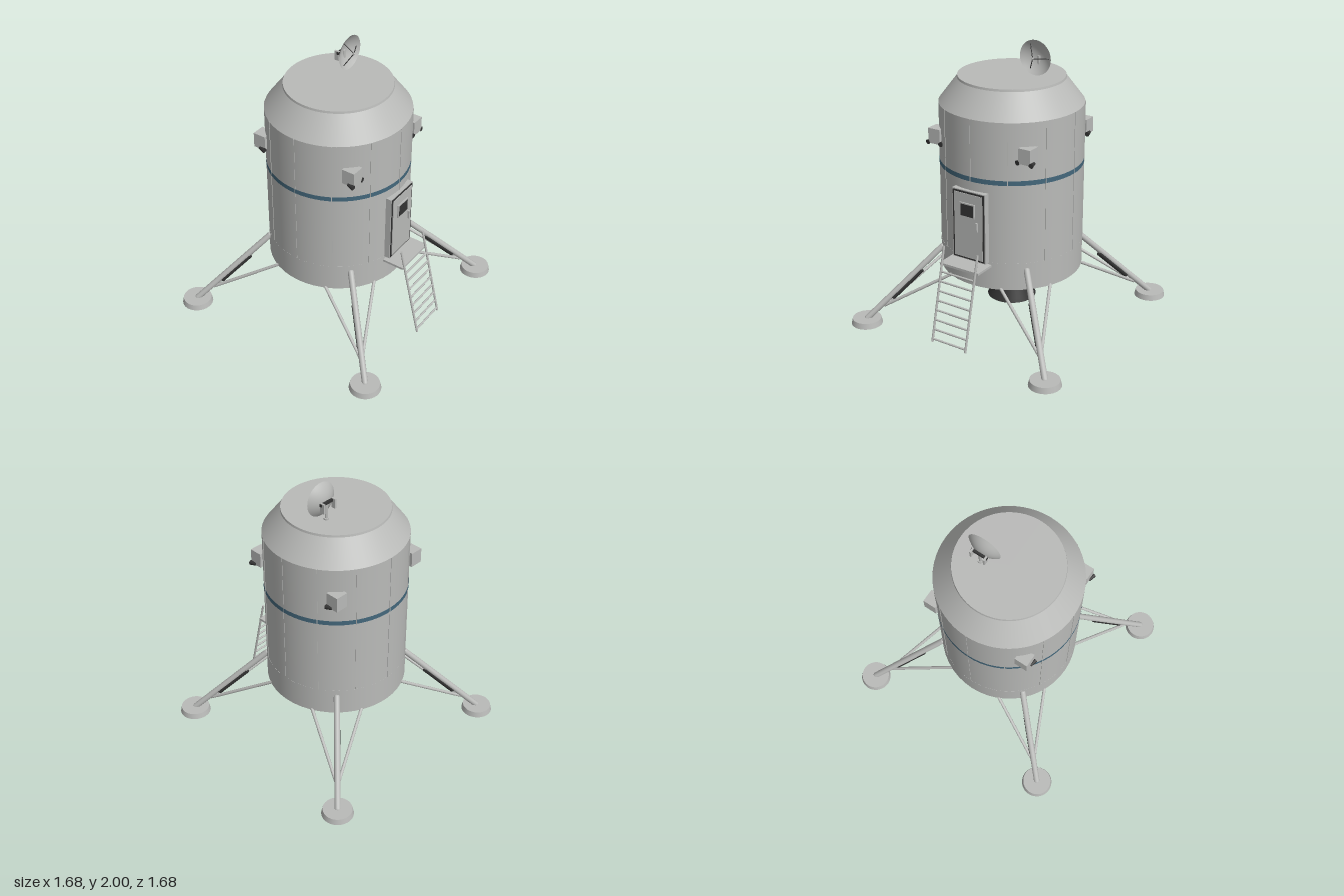
import * as THREE from 'three';

const mat = (name, color, side = THREE.FrontSide) => {
  const m = new THREE.MeshStandardMaterial({ color, side });
  m.name = name;
  return m;
};

export function createModel() {
  const hull = mat('hull grey', 0xb9bab8);
  const shell = mat('dish grey', 0xb9bab8, THREE.DoubleSide);
  const blue = mat('stripe blue', 0x44687c, THREE.DoubleSide);
  const dark = mat('dark metal', 0x343434);
  const bellDark = mat('engine dark', 0x343434, THREE.DoubleSide);

  const model = new THREE.Group();
  model.name = 'lander';
  const V = (x, y, z) => new THREE.Vector3(x, y, z);
  const group = (name, parent = model) => {
    const g = new THREE.Group();
    g.name = name;
    parent.add(g);
    return g;
  };
  const add = (parent, name, geo, material, x = 0, y = 0, z = 0) => {
    const m = new THREE.Mesh(geo, material);
    m.name = name;
    m.position.set(x, y, z);
    parent.add(m);
    return m;
  };
  const box = (parent, name, w, h, d, material, x, y, z) =>
    add(parent, name, new THREE.BoxGeometry(w, h, d), material, x, y, z);
  const cyl = (parent, name, rTop, rBottom, y0, y1, material, segs = 64, open = false) =>
    add(parent, name, new THREE.CylinderGeometry(rTop, rBottom, y1 - y0, segs, 1, open), material, 0, (y0 + y1) / 2, 0);
  // Round bar between two points
  const bar = (parent, name, a, b, r, material, rEnd = r) => {
    const d = b.clone().sub(a);
    const m = add(parent, name, new THREE.CylinderGeometry(rEnd, r, d.length(), 14), material);
    m.position.copy(a).addScaledVector(d, 0.5);
    m.quaternion.setFromUnitVectors(V(0, 1, 0), d.normalize());
    return m;
  };

  // Pressure hull
  const body = group('body');
  cyl(body, 'skirt', 0.491, 0.491, 0.4, 0.595, hull, 48);
  cyl(body, 'cabin', 0.49, 0.49, 0.595, 1.575, hull);
  cyl(body, 'shoulder', 0.365, 0.49, 1.575, 1.74, hull);
  cyl(body, 'topDeck', 0.362, 0.365, 1.74, 1.755, hull);
  cyl(body, 'stripe', 0.492, 0.492, 1.15, 1.183, blue, 64, true);
  for (let i = 0; i < 12; i++) {
    const a = (i * Math.PI) / 6;
    const seam = box(body, 'panelSeam', 0.005, 0.98, 0.008, hull, Math.sin(a) * 0.489, 1.085, Math.cos(a) * 0.489);
    seam.rotation.y = a;
  }

  // Engine bell
  const bell = [[0.07, 0.4], [0.083, 0.35], [0.104, 0.29], [0.132, 0.22], [0.16, 0.155], [0.17, 0.13]]
    .reverse().map(([r, y]) => new THREE.Vector2(r, y));
  add(model, 'engineBell', new THREE.LatheGeometry(bell, 40), bellDark);

  // Landing legs and thruster blocks at the four diagonals
  for (const sx of [-1, 1]) {
    for (const sz of [-1, 1]) {
      const leg = group('landingLeg');
      const P = (x, y, z) => V(sx * x, y, sz * z);
      const hip = P(0.347, 0.54, 0.347), foot = P(0.73, 0.035, 0.73);
      bar(leg, 'mainStrut', hip, foot, 0.021, hull);
      add(leg, 'hipJoint', new THREE.SphereGeometry(0.021, 14, 10), hull).position.copy(hip);
      add(leg, 'ankleJoint', new THREE.SphereGeometry(0.021, 14, 10), hull).position.copy(foot);
      // Shock absorber tucked under the strut
      const drop = P(-0.008, -0.012, -0.008);
      bar(leg, 'shockAbsorber', hip.clone().lerp(foot, 0.3).add(drop), hip.clone().lerp(foot, 0.69).add(drop), 0.022, dark);
      bar(leg, 'brace', P(0.2, 0.405, 0.44), P(0.645, 0.12, 0.645), 0.011, hull);
      bar(leg, 'brace', P(0.44, 0.405, 0.2), P(0.645, 0.12, 0.645), 0.011, hull);
      add(leg, 'footPad', new THREE.CylinderGeometry(0.1, 0.109, 0.04, 36), hull, sx * 0.733, 0.02, sz * 0.733);

      const thruster = group('thruster');
      box(thruster, 'thrusterBlock', 0.092, 0.105, 0.092, hull, sx * 0.355, 1.362, sz * 0.355);
      for (const s of [-1, 1]) {
        const x = sx * 0.355 + s * 0.046, z = sz * 0.355;
        bar(thruster, 'thrusterNozzle', V(x, 1.317, z), V(x + s * 0.006, 1.313, z + 0.046), 0.01, dark, 0.017);
      }
    }
  }

  // Door
  const door = group('door');
  box(door, 'doorFrame', 0.26, 0.495, 0.05, hull, 0, 0.841, 0.488);
  box(door, 'doorGap', 0.247, 0.482, 0.005, dark, 0, 0.841, 0.514);
  box(door, 'doorPanel', 0.222, 0.458, 0.01, hull, 0, 0.841, 0.516);
  box(door, 'windowFrame', 0.118, 0.1, 0.01, hull, -0.003, 0.956, 0.525);
  box(door, 'windowGlass', 0.1, 0.082, 0.004, dark, -0.003, 0.956, 0.53);
  box(door, 'doorHandle', 0.013, 0.062, 0.014, hull, 0.073, 0.852, 0.53);

  // Porch and ladder
  const ladder = group('ladder');
  box(ladder, 'porch', 0.31, 0.016, 0.155, hull, 0, 0.577, 0.558);
  const top = V(0, 0.7, 0.61), base = V(0, 0.052, 0.765);
  for (const s of [-1, 1]) {
    const side = V(s * 0.135, 0, 0);
    bar(ladder, 'ladderRail', top.clone().add(side), base.clone().add(side), 0.008, hull);
  }
  for (let i = 0; i < 8; i++) {
    const p = top.clone().lerp(base, (0.7 - (0.073 + i * 0.0653)) / 0.648);
    bar(ladder, 'rung', p.clone().setX(-0.135), p.clone().setX(0.135), 0.007, hull);
  }

  // Dish antenna, facing forward
  const antenna = group('antenna');
  antenna.position.set(0.165, 0, 0);
  const curve = [];
  for (let i = 0; i <= 8; i++) curve.push(new THREE.Vector2(0.119 * i / 8, 0.05 * (i / 8) ** 2));
  add(antenna, 'dish', new THREE.LatheGeometry(curve, 40).rotateX(Math.PI / 2), shell, 0, 1.881, -0.076);
  const tip = V(0, 1.881, 0.005);
  for (let i = 0; i < 3; i++) {
    const a = (i * Math.PI * 2) / 3;
    bar(antenna, 'feedStrut', V(Math.cos(a) * 0.095, 1.881 + Math.sin(a) * 0.095, -0.042), tip, 0.003, dark);
  }
  add(antenna, 'feedTip', new THREE.SphereGeometry(0.008, 12, 8), hull).position.copy(tip);
  bar(antenna, 'mast', V(0, 1.75, -0.075), V(0, 1.885, -0.075), 0.01, hull);
  bar(antenna, 'mastBase', V(0, 1.75, -0.075), V(0, 1.766, -0.075), 0.018, hull);
  box(antenna, 'pivotBar', 0.12, 0.018, 0.016, dark, 0, 1.881, -0.084);
  for (const s of [-1, 1]) box(antenna, 'yokePlate', 0.013, 0.068, 0.034, hull, s * 0.05, 1.86, -0.093);

  return model;
}
